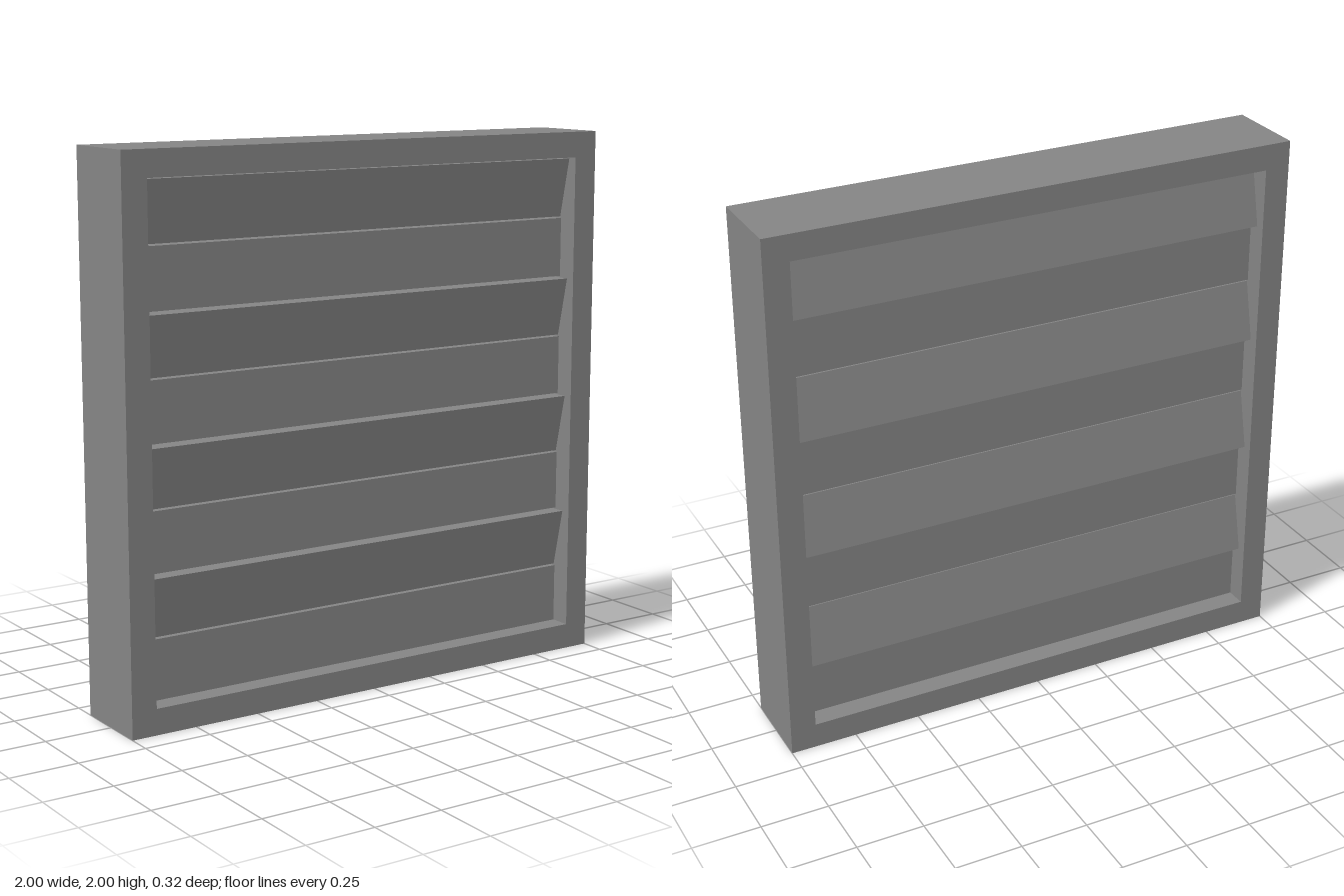
import * as THREE from 'three';

const material = new THREE.MeshStandardMaterial({ color: 0x848484, flatShading: true });
const DEPTH = 0.316; // frame depth
const HALF = 0.905; // half of the square opening
const ROWS = 8;
const ROW = (2 * HALF) / ROWS;
const SLAT = ROW - 0.006; // leaves a hairline gap above each slat

function polygon(points) {
  return points.map(([x, y]) => new THREE.Vector2(x, y));
}

// Extrudes a (z, y) side profile across the opening, along x
function slatGeometry(profile) {
  const geometry = new THREE.ExtrudeGeometry(new THREE.Shape(polygon(profile)), {
    depth: 2 * HALF, bevelEnabled: false,
  });
  geometry.translate(0, 0, -HALF);
  geometry.rotateY(-Math.PI / 2); // profile x -> z
  return geometry;
}

function addMesh(group, name, geometry) {
  const mesh = new THREE.Mesh(geometry, material);
  mesh.name = name;
  group.add(mesh);
  return mesh;
}

export function createModel() {
  const model = new THREE.Group();
  model.name = 'louverVent';

  // Square frame with a square opening
  const outline = new THREE.Shape(polygon([[-1, 0], [1, 0], [1, 2], [-1, 2]]));
  outline.holes.push(new THREE.Path(polygon([
    [-HALF, 1 - HALF], [-HALF, 1 + HALF], [HALF, 1 + HALF], [HALF, 1 - HALF],
  ])));
  const frame = new THREE.ExtrudeGeometry(outline, { depth: DEPTH, bevelEnabled: false });
  frame.translate(0, 0, -DEPTH / 2);
  addMesh(model, 'frame', frame);

  // Upright slats alternate with slats whose top leans to the front
  const upright = slatGeometry([[-0.08, 0], [0.08, 0], [0.08, SLAT], [-0.08, SLAT]]);
  const tilted = slatGeometry([[-0.122, 0], [0.075, 0], [0.122, SLAT], [-0.075, SLAT]]);
  for (let i = 0; i < ROWS; i++) {
    const leans = i % 2 === 1;
    const slat = addMesh(model, leans ? 'tiltedSlat' : 'uprightSlat', leans ? tilted : upright);
    slat.position.y = 1 - HALF + i * ROW;
  }
  return model;
}
